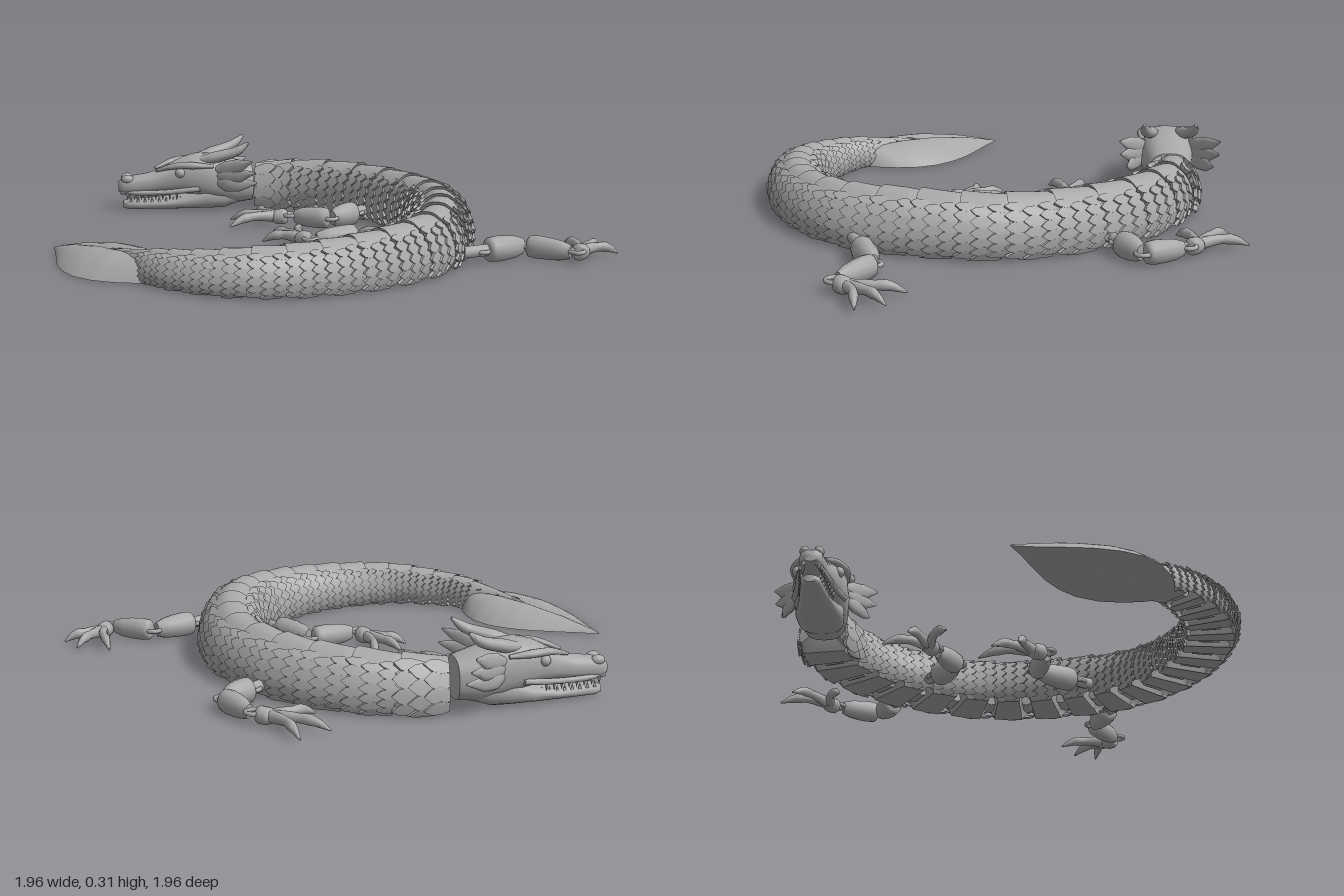
import * as THREE from 'three';
import { mergeGeometries, toCreasedNormals } from 'three/addons/utils/BufferGeometryUtils.js';

const V = (x, y, z) => new THREE.Vector3(x, y, z);
const UP = V(0, 1, 0);
const grey = new THREE.MeshStandardMaterial({ color: 0xa8a8a8 });
grey.name = 'stone grey';

// Piecewise linear lookup in [[position, value], ...]
function lookup(table, u) {
  for (let i = 1; i < table.length; i++) {
    const [a, va] = table[i - 1], [b, vb] = table[i];
    if (u <= b) return va + (vb - va) * Math.max(0, (u - a) / (b - a));
  }
  return table[table.length - 1][1];
}

// Closed skin over a row of rings (counter-clockwise seen from the far end)
function skin(rings, crease = 0.7) {
  const n = rings[0].length, pos = [], idx = [];
  rings.forEach(r => r.forEach(p => pos.push(p.x, p.y, p.z)));
  for (let i = 0; i < rings.length - 1; i++) for (let j = 0; j < n; j++) {
    const a = i * n + j, b = i * n + (j + 1) % n;
    idx.push(a, b, b + n, a, b + n, a + n);
  }
  [0, rings.length - 1].forEach(i => {
    const c = rings[i].reduce((s, p) => s.add(p), V(0, 0, 0)).divideScalar(n);
    const k = pos.length / 3;
    pos.push(c.x, c.y, c.z);
    for (let j = 0; j < n; j++) {
      const a = i * n + j, b = i * n + (j + 1) % n;
      if (i) idx.push(k, a, b); else idx.push(k, b, a);
    }
  });
  const g = new THREE.BufferGeometry();
  g.setAttribute('position', new THREE.Float32BufferAttribute(pos, 3));
  g.setIndex(idx);
  return toCreasedNormals(g, crease);
}

// Tapered tube through points; radii are [sideways, upright] pairs, flat on the ground
function taper(pts, radii, steps = 12, sides = 12) {
  const curve = new THREE.CatmullRomCurve3(pts), rings = [];
  const rx = radii.map((r, i) => [i / (radii.length - 1), r[0]]);
  const ry = radii.map((r, i) => [i / (radii.length - 1), r[1]]);
  for (let i = 0; i <= steps; i++) {
    const t = i / steps, c = curve.getPoint(t), T = curve.getTangent(t);
    const X = UP.clone().cross(T).normalize(), Y = T.clone().cross(X), ring = [];
    for (let j = 0; j < sides; j++) {
      const a = j / sides * Math.PI * 2;
      const p = c.clone().addScaledVector(X, Math.cos(a) * lookup(rx, t)).addScaledVector(Y, Math.sin(a) * lookup(ry, t));
      p.y = Math.max(0, p.y);
      ring.push(p);
    }
    rings.push(ring);
  }
  return skin(rings, 0.9);
}

function add(parent, name, geometry) {
  const m = new THREE.Mesh(geometry, grey);
  m.name = name;
  parent.add(m);
  return m;
}

// Spine path on the ground, from neck to tail point
const spine = new THREE.CatmullRomCurve3([[-0.68, -0.31], [-0.58, -0.43], [-0.44, -0.53], [-0.25, -0.6], [-0.05, -0.615], [0.22, -0.57],
  [0.47, -0.41], [0.67, -0.17], [0.73, 0.1], [0.69, 0.37], [0.57, 0.59], [0.38, 0.72], [0.27, 0.755], [0.1, 0.78], [-0.05, 0.79]].map(p => V(p[0], 0, p[1])));
const WIDTH = [[0, 0.105], [0.1, 0.125], [0.2, 0.133], [0.5, 0.13], [0.65, 0.12], [0.75, 0.112], [0.83, 0.095], [0.9, 0.07], [1, 0.012]];
const HEIGHT = [[0, 0.2], [0.1, 0.22], [0.3, 0.225], [0.45, 0.232], [0.55, 0.215], [0.67, 0.19], [0.78, 0.168], [0.9, 0.125], [1, 0.07]];
const half = new THREE.CatmullRomCurve3([[0, 1], [0.22, 0.985], [0.43, 0.91], [0.7, 0.78], [0.91, 0.56], [1, 0.34], [0.96, 0.14], [0.85, 0]].map(p => V(p[0], p[1], 0)));

// Point on the body: u along, t around (-1..1, 0 is the back line), k swells the section
function bodyPoint(u, t, k) {
  u = Math.min(1, Math.max(0, u));
  const c = spine.getPointAt(u), T = spine.getTangentAt(u), X = UP.clone().cross(T).normalize();
  const p = half.getPoint(Math.min(1, Math.abs(t))), h = lookup(HEIGHT, u);
  c.addScaledVector(X, Math.sign(t) * p.x * lookup(WIDTH, u) * k);
  c.y = Math.max(0, h * (0.4 + (p.y - 0.4) * k));
  if (Math.abs(t) >= 1) c.y = 0;
  return c;
}

// One overlapping scale with a raised pointed rear edge
const OUTLINE = [[0.6, 0], [0.35, 0.36], [0, 0.5], [-0.5, 0.35], [-0.5, -0.35], [0, -0.5], [0.35, -0.36]];
function scale(u, t, du, dt, flare, rise) {
  const pos = [], at = (a, b, drop) => {
    const uu = u + a * du;
    return bodyPoint(uu, t + b * dt, flare(uu) - 0.02 + (drop ? 0 : (a + 0.55) * rise / lookup(WIDTH, u)));
  };
  const mid = at(0.1, 0, false);
  OUTLINE.forEach(([a, b], i) => {
    const [a2, b2] = OUTLINE[(i + 1) % OUTLINE.length];
    const p = at(a, b), q = at(a2, b2), p0 = at(a, b, true), q0 = at(a2, b2, true);
    [mid, p, q, p, p0, q0, p, q0, q].forEach(v => pos.push(v.x, v.y, v.z));
  });
  const g = new THREE.BufferGeometry();
  g.setAttribute('position', new THREE.Float32BufferAttribute(pos, 3));
  return toCreasedNormals(g, 0.6);
}

function addBody(root) {
  const count = 20, ends = [0];
  for (let i = 0; i < count; i++) ends.push(ends[i] + 1 - 0.42 * Math.max(0, (i - 5) / 14));
  const marks = ends.map(e => e / ends[count] * 0.91).concat(1);
  for (let i = 0; i <= count; i++) {
    const u0 = marks[i], u1 = marks[i + 1], len = u1 - u0, last = i === count;
    const flare = u => 0.93 + 0.07 * (u - u0) / len;
    // Shell with a sloping gap under the belly
    const ring = (u, k, shift) => Array.from({ length: 29 }, (_, j) => {
      const t = 1 - j / 14;
      return bodyPoint(u + shift * THREE.MathUtils.smoothstep(Math.abs(t), 0.75, 1), t, k);
    });
    const rings = [ring(u0 - 0.006, 0.86, 0.014)];
    for (let s = 0; s <= 4; s++) rings.push(ring(u0 + len * s / 4, flare(u0 + len * s / 4), 0.009 * (1 - s / 4) - (last ? 0 : 0.009 * s / 4)));
    if (!last) rings.push(ring(u1 - 0.004, 0.86, -0.01));
    add(root, 'bodySegment', skin(rings, 0.6));
    // Scales on both flanks
    const list = [], rows = last ? 6 : 3;
    for (let r = 0; r < rows; r++) for (let c = 0; c < 6; c++) for (const side of [-1, 1]) {
      const t = 0.36 + (c + (r % 2) * 0.5) * 0.105;
      if (t < 0.95) list.push(scale(u0 + len * (r + 0.45) / rows, side * t, len / rows * 1.35, 0.125, flare, last ? 0.007 : 0.012));
    }
    add(root, 'flankScales', mergeGeometries(list));
    // Hinge pin in the gap
    if (i) {
      const T = spine.getTangentAt(u0);
      const pin = add(root, 'hinge', new THREE.CylinderGeometry(0.022, 0.022, lookup(WIDTH, u0) * 0.7, 12).rotateZ(Math.PI / 2));
      pin.position.copy(spine.getPointAt(u0)).setY(0.03);
      pin.rotation.y = Math.atan2(T.x, T.z);
    }
  }
  // Large collar scales behind the jaw
  const collar = [];
  for (let r = 0; r < 3; r++) for (let c = 0; c < 4; c++) for (const side of [-1, 1])
    collar.push(scale(0.012 + r * 0.015, side * (0.36 + c * 0.16 + (r % 2) * 0.07), 0.032, 0.2, () => 1.02, 0.016));
  add(root, 'collarScales', mergeGeometries(collar));
}

// Leaf-shaped tail fin: two domed lobes with a crease between them
function addTailFin(root) {
  const A = V(0.27, 0, 0.755), B = V(-0.44, 0, 0.83), T = B.clone().sub(A).normalize(), X = UP.clone().cross(T);
  const W = [[0, 0.03], [0.06, 0.085], [0.15, 0.14], [0.27, 0.185], [0.4, 0.2], [0.52, 0.187], [0.65, 0.15], [0.78, 0.095], [0.9, 0.04], [1, 0.002]];
  const H = [[0, 0.06], [0.1, 0.08], [0.3, 0.088], [0.5, 0.08], [0.75, 0.052], [0.9, 0.025], [1, 0.004]];
  const rings = [];
  for (let i = 0; i <= 30; i++) {
    const k = i / 30, ring = [];
    for (let j = 0; j <= 24; j++) {
      const v = 1 - j / 12, p = A.clone().lerp(B, k).addScaledVector(X, v * lookup(W, k));
      p.y = lookup(H, k) * (1 - Math.abs(v) ** 2.3) * (0.78 + 0.22 * Math.min(1, Math.abs(v) * 5)) + 0.001;
      if (j === 0 || j === 24) p.y = 0;
      ring.push(p);
    }
    rings.push(ring);
  }
  add(root, 'tailFin', skin(rings, 0.5));
}

// Hip, knee, wrist and finger tips, as x,z pairs
function addLeg(root, name, hip, knee, wrist, tips) {
  const leg = new THREE.Group();
  leg.name = name;
  root.add(leg);
  const P = (p, y) => V(p[0], y, p[1]), h = P(hip, 0.048), k = P(knee, 0.045), w = P(wrist, 0.04);
  add(leg, 'hipStub', taper([h.clone().lerp(k, -0.45), h.clone().lerp(k, 0.12)], [[0.022, 0.024], [0.022, 0.024]], 3));
  const limb = [[0.022, 0.03], [0.043, 0.048], [0.046, 0.052], [0.043, 0.05], [0.036, 0.044], [0.02, 0.03]];
  add(leg, 'upperLimb', taper([h.clone().lerp(k, 0.1), h.clone().lerp(k, 0.93)], limb, 15));
  add(leg, 'lowerLimb', taper([k.clone().lerp(w, 0.04), k.clone().lerp(w, 0.88)], limb.map(r => [r[0] * 0.87, r[1] * 0.9]), 15));
  // Ring joints
  [[h, k], [k, w], [w, k]].forEach(([a, b]) => {
    const ring = add(leg, 'jointRing', new THREE.TorusGeometry(0.027, 0.009, 8, 20).rotateX(Math.PI / 2));
    ring.position.copy(a).setY(0.045);
    ring.rotation.y = Math.atan2(b.x - a.x, b.z - a.z);
  });
  // Palm and clawed fingers
  const centre = tips.reduce((s, t) => s.add(P(t, 0)), V(0, 0, 0)).divideScalar(3);
  const palm = w.clone().lerp(centre, 0.38).setY(0.032);
  add(leg, 'palm', taper([w.clone().lerp(palm, 0.15), palm], [[0.02, 0.024], [0.032, 0.034], [0.036, 0.032], [0.018, 0.018]]));
  tips.forEach(t => {
    const tip = P(t, 0.012);
    add(leg, 'finger', taper([w.clone().lerp(palm, 0.6), palm.clone().lerp(tip, 0.35).setY(0.042), palm.clone().lerp(tip, 0.68).setY(0.038), tip],
      [[0.02, 0.024], [0.018, 0.022], [0.015, 0.018], [0.018, 0.021], [0.012, 0.014], [0.003, 0.003]], 15, 10));
  });
}

function addHead(root) {
  const head = new THREE.Group();
  head.name = 'head';
  head.position.set(-0.7, 0, -0.25);
  head.rotation.y = -0.48;
  root.add(head);
  // Stations: z, half width, bottom, top
  const loft = stations => skin(stations.map(([z, w, lo, hi]) => Array.from({ length: 24 }, (_, j) => {
    const a = j / 24 * Math.PI * 2, c = Math.cos(a), s = Math.sin(a), e = 0.8;
    return V(w * Math.sign(c) * Math.abs(c) ** e, (lo + hi) / 2 + (hi - lo) / 2 * Math.sign(s) * Math.abs(s) ** e, z);
  })), 1);
  add(head, 'skull', loft([[-0.04, 0.085, 0.03, 0.19], [0.04, 0.1, 0.02, 0.215], [0.12, 0.108, 0.03, 0.238], [0.2, 0.106, 0.05, 0.246], [0.27, 0.09, 0.07, 0.228],
    [0.34, 0.07, 0.075, 0.19], [0.42, 0.054, 0.072, 0.16], [0.49, 0.047, 0.068, 0.15], [0.53, 0.043, 0.068, 0.143], [0.555, 0.026, 0.08, 0.125]]));
  add(head, 'lowerJaw', loft([[0.03, 0.07, 0.02, 0.1], [0.09, 0.09, 0, 0.12], [0.17, 0.094, 0, 0.11], [0.25, 0.08, 0, 0.075], [0.35, 0.06, 0, 0.05], [0.46, 0.044, 0, 0.045], [0.51, 0.037, 0, 0.045], [0.535, 0.02, 0.006, 0.036]]));
  for (const s of [-1, 1]) {
    const L = pts => pts.map(p => V(s * p[0], p[1], p[2]));
    add(head, 'horn', taper(L([[0.045, 0.215, 0.21], [0.075, 0.24, 0.11], [0.095, 0.265, 0.035], [0.105, 0.303, -0.015]]), [[0.02, 0.016], [0.033, 0.026], [0.027, 0.023], [0.021, 0.019], [0.007, 0.006]], 16));
    add(head, 'brow', taper(L([[0.035, 0.175, 0.39], [0.07, 0.2, 0.31], [0.098, 0.205, 0.23], [0.1, 0.2, 0.14]]), [[0.006, 0.006], [0.018, 0.014], [0.019, 0.016], [0.008, 0.008]]));
    add(head, 'lip', taper(L([[0.098, 0.1, 0.2], [0.07, 0.084, 0.33], [0.046, 0.078, 0.46], [0.022, 0.08, 0.545]]), [[0.01, 0.012], [0.012, 0.011], [0.008, 0.01]]));
    add(head, 'eye', new THREE.SphereGeometry(0.022, 16, 12)).position.set(s * 0.079, 0.17, 0.285);
    const nostril = add(head, 'nostril', new THREE.SphereGeometry(0.02, 14, 10));
    nostril.position.set(s * 0.026, 0.138, 0.515);
    nostril.scale.z = 1.4;
    // Ear fin made of three flattened spikes
    [[0.205, 0.235, -0.02], [0.2, 0.185, -0.035], [0.175, 0.135, -0.045]].forEach((tip, i) =>
      add(head, 'earFin', taper(L([[0.088, 0.18 - i * 0.025, 0.13], [0.14, 0.2 - i * 0.038, 0.06], tip]), [[0.01, 0.015], [0.013, 0.034], [0.011, 0.03], [0.003, 0.004]])));
    // Teeth in both jaws
    for (let i = 0; i < 8; i++) {
      const z = 0.3 + i * 0.031, x = s * (0.064 - i * 0.0035);
      add(head, 'upperTooth', new THREE.ConeGeometry(0.008, 0.032, 8).rotateX(Math.PI)).position.set(x, 0.062, z);
      add(head, 'lowerTooth', new THREE.ConeGeometry(0.007, 0.026, 8)).position.set(x * 0.88, 0.05, z - 0.015);
    }
  }
}

export function createModel() {
  const root = new THREE.Group();
  root.name = 'articulatedDragon';
  addBody(root);
  addTailFin(root);
  addHead(root);
  addLeg(root, 'frontLegOuter', [-0.14, -0.785], [-0.155, -0.935], [-0.345, -0.945], [[-0.61, -0.95], [-0.61, -0.81], [-0.43, -0.73]]);
  addLeg(root, 'frontLegInner', [-0.115, -0.445], [-0.085, -0.285], [-0.24, -0.185], [[-0.48, -0.17], [-0.44, -0.015], [-0.315, 0.07]]);
  addLeg(root, 'hindLegInner', [0.445, -0.205], [0.23, -0.19], [0.175, 0.01], [[-0.08, -0.115], [-0.09, 0.02], [-0.015, 0.11]]);
  addLeg(root, 'hindLegOuter', [0.73, -0.4], [0.755, -0.605], [0.945, -0.695], [[0.73, -0.84], [0.845, -0.92], [0.955, -0.91]]);
  return root;
}
